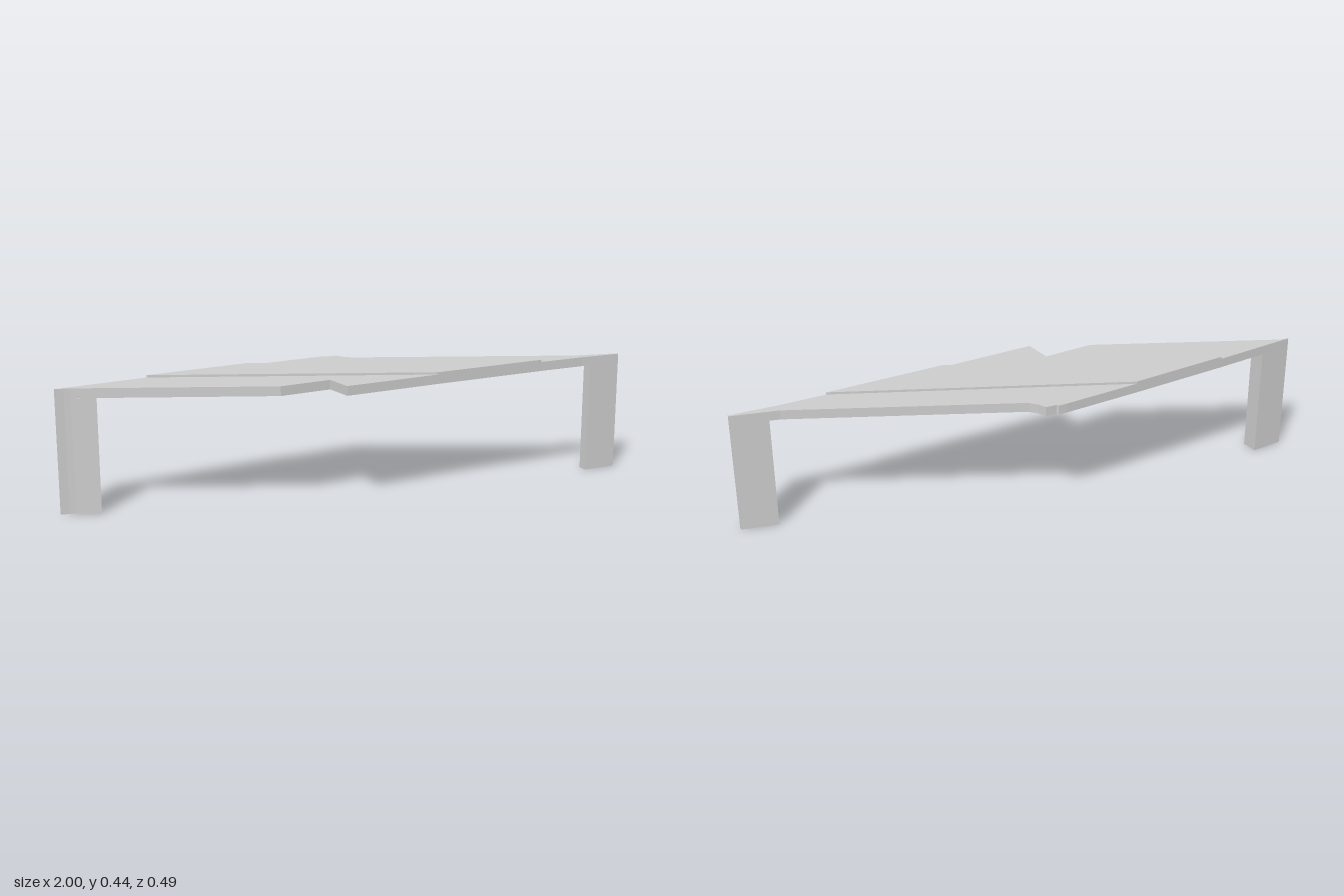
import * as THREE from 'three';

// Extrudes a plan outline of [x, z] points upward between two heights
function prism(name, plan, bottom, top) {
  const shape = new THREE.Shape(plan.map(([x, z]) => new THREE.Vector2(x, -z)));
  const geometry = new THREE.ExtrudeGeometry(shape, { depth: top - bottom, bevelEnabled: false });
  geometry.rotateX(-Math.PI / 2).translate(0, bottom, 0);
  const mesh = new THREE.Mesh(geometry, new THREE.MeshStandardMaterial({ color: 0xcccccc, flatShading: true }));
  mesh.name = name;
  return mesh;
}

export function createModel() {
  const group = new THREE.Group();
  group.name = 'slantedCanopy';
  const under = 0.396, deckTop = 0.429, stripeTop = 0.437;

  // Skewed roof slab with a front notch and a curved back nook
  const deck = [
    [-1, -0.187], [-0.97, -0.18], [-0.95, -0.172], [-0.335, 0.135], [-0.3, 0.133], [-0.145, 0.126],
    [-0.142, 0.239], [0.22, 0.231], [0.66, 0.229], [0.84, 0.233], [1, 0.244],
    [1, 0.236], [0.84, 0.193], [0.135, -0.16], [0.105, -0.178], [0.085, -0.202],
    [0.073, -0.232], [0.035, -0.235], [0.03, -0.243], [0, -0.244], [-0.29, -0.232], [-0.67, -0.211],
  ];
  group.add(prism('roofSlab', deck, under, deckTop));

  // Raised diagonal band across the roof
  const band = [[-0.67, -0.211], [0.22, 0.231], [0.66, 0.229], [-0.29, -0.232]];
  group.add(prism('raisedBand', band, deckTop, stripeTop));

  // Wedge legs that continue the two pointed ends down to the ground
  group.add(prism('rightLeg',
    [[-1, -0.187], [-0.97, -0.18], [-0.95, -0.172], [-0.875, -0.133], [-0.875, -0.195]], 0, under));
  group.add(prism('leftLeg',
    [[0.875, 0.235], [1, 0.244], [1, 0.236], [0.875, 0.203]], 0, under));
  return group;
}
